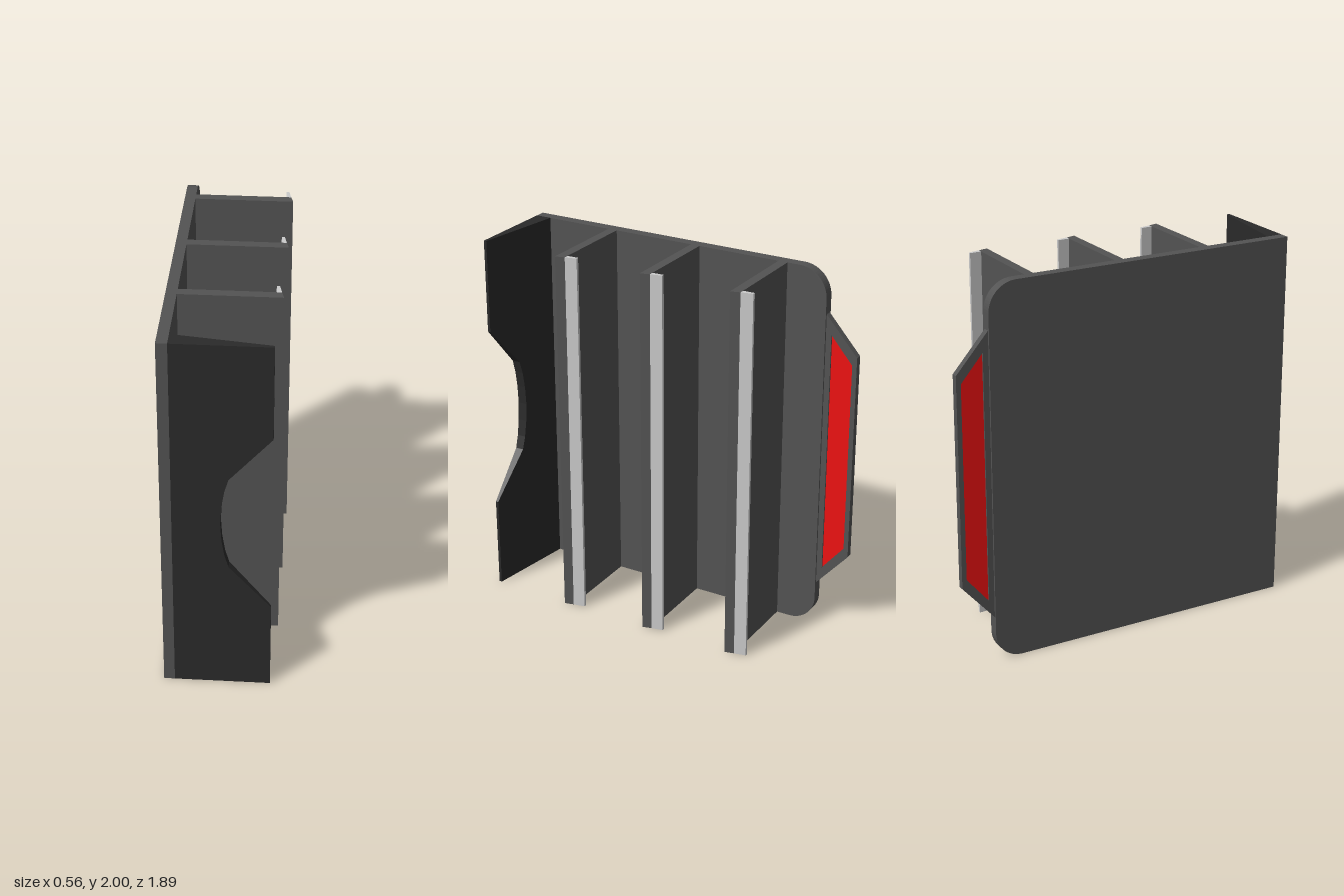
import * as THREE from 'three';

const mat = (color) => new THREE.MeshStandardMaterial({ color, flatShading: true });
const poly = (pts) => new THREE.Shape(pts.map(([a, b]) => new THREE.Vector2(a, b)));
const extrude = (shape, depth) =>
  new THREE.ExtrudeGeometry(shape, { depth, bevelEnabled: false, curveSegments: 8 });

// Outline drawn as (-z, y), thickness running from x0 to x1
const sideSlab = (shape, x0, x1) => extrude(shape, x1 - x0).rotateY(Math.PI / 2).translate(x0, 0, 0);
// Outline drawn as (x, -z), extruded over the full height
const upright = (pts) => extrude(poly(pts), 2).rotateX(-Math.PI / 2);

export function createModel() {
  const group = new THREE.Group();
  const dark = mat(0x535353), black = mat(0x2a2a2a), light = mat(0xcccccc), red = mat(0xee1111);
  const add = (name, geometry, material, parent = group) => {
    const mesh = new THREE.Mesh(geometry, material);
    mesh.name = name;
    parent.add(mesh);
    return mesh;
  };

  // Large side plate with two rounded rear corners
  const r = 0.15, rear = 0.77;
  const plate = new THREE.Shape();
  plate.moveTo(-0.945, 0);
  plate.lineTo(rear - r, 0);
  plate.absarc(rear - r, r, r, -Math.PI / 2, 0, false);
  plate.lineTo(rear, 2 - r);
  plate.absarc(rear - r, 2 - r, r, 0, Math.PI / 2, false);
  plate.lineTo(-0.945, 2);
  plate.closePath();
  add('sidePlate', sideSlab(plate, -0.28, -0.225), dark);

  // Rear tab: tapered frame with a red pane set into it
  const pane = [[0.8, 0.34], [0.92, 0.485], [0.92, 1.52], [0.8, 1.66]];
  const frame = poly([[0.765, 0.235], [0.945, 0.44], [0.945, 1.565], [0.765, 1.77]]);
  frame.holes.push(poly(pane));
  add('tabFrame', sideSlab(frame, -0.27, -0.235), dark);
  add('tabPane', sideSlab(poly(pane), -0.262, -0.243), red);

  // Three upright dividers, each with a pale lip on its free edge
  for (const front of [0.495, 0, -0.5]) {
    const divider = new THREE.Group();
    divider.name = 'divider';
    divider.position.z = front;
    group.add(divider);
    add('dividerPanel', upright([[-0.225, 0], [0.28, 0], [0.268, 0.05], [-0.225, 0.05]]), dark, divider);
    add('dividerLip', upright([[0.242, 0.05], [0.268, 0.05], [0.255, 0.112], [0.24, 0.112]]), light, divider);
  }

  // Front panel: notched outline whose thickness tapers towards the free edge
  const half = [[0.26, 0.5], [0.05, 0.74], [0.03, 0.81], [0.016, 0.9]];
  const notch = [...half, [0.01, 1], ...half.map(([x, y]) => [x, 2 - y]).reverse()];
  const wedge = extrude(poly([[-0.225, 0], [0.26, 0], ...notch, [0.26, 2], [-0.225, 2]]), 1);
  const p = wedge.attributes.position;
  for (let i = 0; i < p.count; i++) {
    const back = 0.86 + 0.07 * (p.getX(i) + 0.225) / 0.485;
    p.setZ(i, p.getZ(i) > 0.5 ? 0.945 : back);
  }
  wedge.computeVertexNormals();
  add('frontPanel', wedge, black);

  return group;
}
